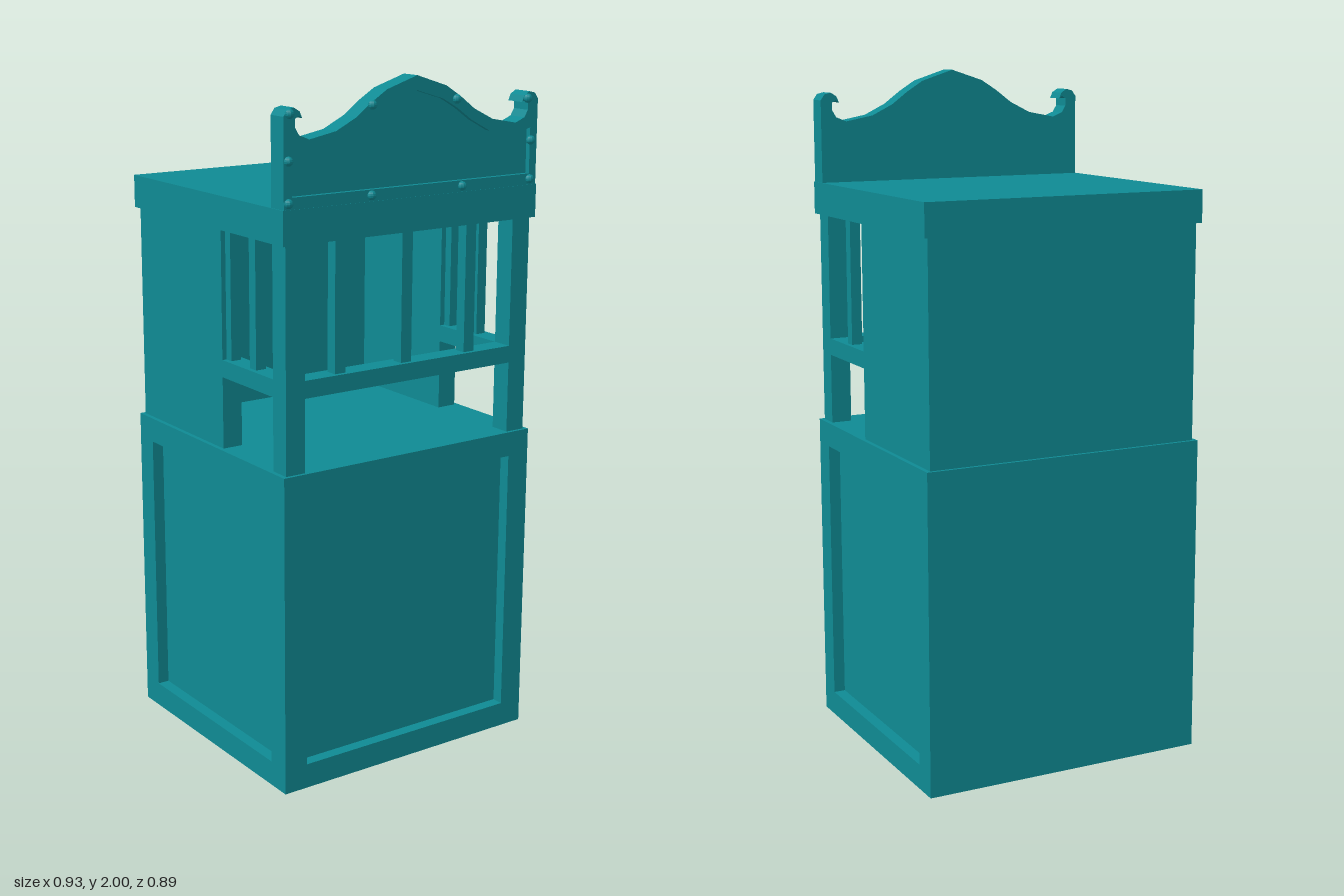
import * as THREE from 'three';

const teal = new THREE.MeshStandardMaterial({ color: 0x0f8a93, flatShading: true, side: THREE.DoubleSide });

function add(parent, name, geometry, x = 0, y = 0, z = 0) {
  const mesh = new THREE.Mesh(geometry, teal);
  mesh.name = name;
  mesh.position.set(x, y, z);
  parent.add(mesh);
  return mesh;
}

// Box given by its limits on each axis
function block(parent, name, [x0, x1], [y0, y1], [z0, z1]) {
  return add(parent, name, new THREE.BoxGeometry(x1 - x0, y1 - y0, z1 - z0),
    (x0 + x1) / 2, (y0 + y1) / 2, (z0 + z1) / 2);
}

// Flat frame with a sunken panel, facing +z, as nested rectangular rings
function panelGeometry(width, y0, y1, border, depth) {
  const w = width / 2;
  const ring = (inset, z) => [
    [-w + inset, y0 + inset, z], [w - inset, y0 + inset, z],
    [w - inset, y1 - inset, z], [-w + inset, y1 - inset, z],
  ];
  const rings = [ring(0, 0), ring(border, 0), ring(border, -depth)];
  const index = [];
  for (let r = 0; r < 2; r++) {
    for (let i = 0; i < 4; i++) {
      const a = r * 4 + i, b = r * 4 + (i + 1) % 4;
      index.push(a, b, b + 4, a, b + 4, a + 4);
    }
  }
  index.push(8, 9, 10, 8, 10, 11);
  const geometry = new THREE.BufferGeometry();
  geometry.setAttribute('position', new THREE.Float32BufferAttribute(rings.flat(2), 3));
  geometry.setIndex(index);
  const flat = geometry.toNonIndexed();
  flat.computeVertexNormals();
  return flat;
}

// Closed outline mirrored from its left half
function mirrored(half) {
  const right = half.filter(([x]) => x < 0).reverse().map(([x, y]) => [-x, y]);
  return [...half, ...right].map(([x, y]) => new THREE.Vector2(x, y));
}

const extrude = (shape, depth) => new THREE.ExtrudeGeometry(shape, { depth, bevelEnabled: false });

export function createModel() {
  const model = new THREE.Group();
  model.name = 'cabinet';
  const W = 0.433, D = 0.398;       // half width and depth of base and top slab
  const w = 0.42, d = 0.388;        // same for the upper stage
  const floor = 0.945, ceiling = 1.578;

  // Lower cabinet: hollow, open below, sunken panels on front and sides
  const base = new THREE.Group();
  base.name = 'lowerCabinet';
  model.add(base);
  add(base, 'frontPanel', panelGeometry(2 * W, 0.005, floor, 0.073, 0.035), 0, 0, D);
  for (const s of [-1, 1]) {
    add(base, 'sidePanel', panelGeometry(2 * D, 0.005, floor, 0.073, 0.035), s * W).rotation.y = s * Math.PI / 2;
  }
  add(base, 'backPanel', new THREE.PlaneGeometry(2 * W, floor - 0.005), 0, (floor + 0.005) / 2, -D).rotation.y = Math.PI;
  add(base, 'counter', new THREE.PlaneGeometry(2 * W, 2 * D), 0, floor, 0).rotation.x = -Math.PI / 2;

  // Upper stage: walls at the rear, posts, rails and bars at the front
  const upper = new THREE.Group();
  upper.name = 'upperStage';
  model.add(upper);
  const full = [floor, ceiling], rail = [1.155, 1.205], barY = [1.205, ceiling];
  block(upper, 'backWall', [-w, w], full, [-d, -d + 0.06]);
  for (const s of [-1, 1]) {
    const across = s < 0 ? [-w, -0.358] : [0.358, w];
    block(upper, 'sideWall', across, full, [-d + 0.06, 0.065]);
    block(upper, 'frontPost', across, full, [0.325, d]);
    block(upper, 'sideRail', across, rail, [0.065, 0.325]);
    for (const z of [0.075, 0.203]) {
      block(upper, 'sideBar', [s * 0.39 - 0.016, s * 0.39 + 0.016], barY, [z - 0.016, z + 0.016]);
    }
  }
  block(upper, 'frontRail', [-0.358, 0.358], rail, [0.325, d]);
  for (let i = -1; i <= 1; i++) {
    const x = i * 0.225 - 0.008;
    block(upper, 'frontBar', [x - 0.018, x + 0.018], barY, [0.34, 0.375]);
  }
  block(model, 'topSlab', [-W, W], [ceiling, 1.673], [-D, D]);

  // Crest: arched board with curled ends, a raised rim and round studs
  const crest = new THREE.Group();
  crest.name = 'crest';
  model.add(crest);
  const outline = mirrored([
    [-0.43, 1.673], [-0.43, 1.915], [-0.418, 1.932], [-0.398, 1.937], [-0.38, 1.926],
    [-0.372, 1.908], [-0.382, 1.915], [-0.394, 1.908], [-0.394, 1.885], [-0.382, 1.865],
    [-0.35, 1.852], [-0.265, 1.868], [-0.2, 1.9], [-0.15, 1.937], [-0.1, 1.968], [0, 2],
  ]);
  const inner = mirrored([
    [-0.405, 1.705], [-0.405, 1.835], [-0.35, 1.822], [-0.255, 1.836],
    [-0.19, 1.87], [-0.14, 1.905], [-0.09, 1.933], [0, 1.96],
  ]);
  add(crest, 'crestBoard', extrude(new THREE.Shape(outline), 0.045), 0, 0, 0.337);
  const rim = new THREE.Shape(outline);
  rim.holes.push(new THREE.Path(inner));
  add(crest, 'crestRim', extrude(rim, 0.015), 0, 0, 0.382);
  const studs = [[-0.417, 1.69], [-0.15, 1.69], [0.16, 1.69], [0.405, 1.69], [-0.417, 1.8],
    [0.405, 1.8], [-0.413, 1.922], [0.39, 1.918], [-0.15, 1.93], [0.135, 1.93]];
  for (const [x, y] of studs) add(crest, 'stud', new THREE.SphereGeometry(0.013, 10, 8), x, y, 0.4);

  // The whole piece stands slightly turned and leans a touch forward
  model.rotation.set(0.006, 0.085, 0, 'XYZ');
  model.position.set(0, 0, -0.005);
  const root = new THREE.Group();
  root.name = 'displayCabinet';
  root.add(model);
  return root;
}
